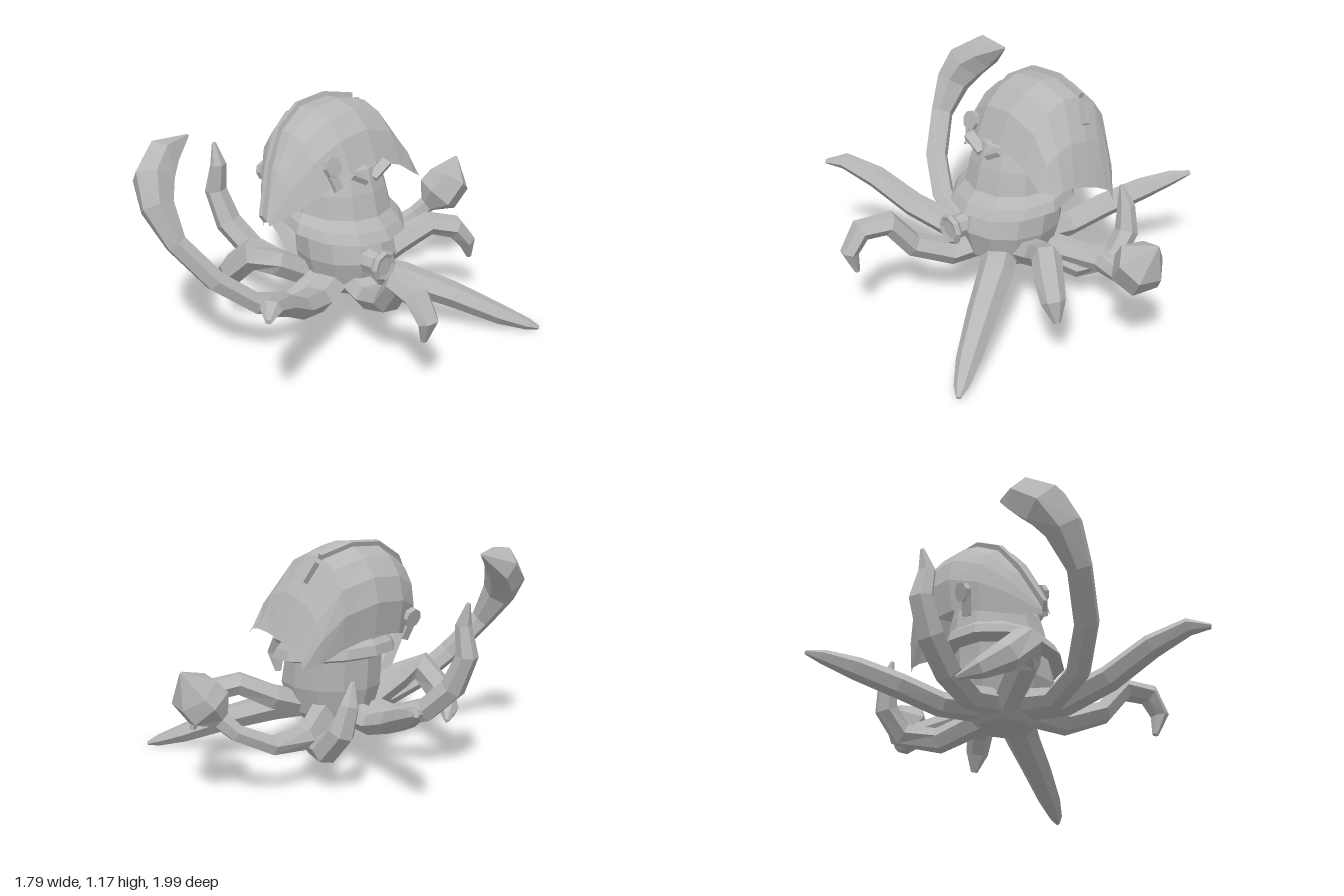
import * as THREE from 'three';

const skin = new THREE.MeshStandardMaterial({ color: 0xb6b6b6, flatShading: true, side: THREE.DoubleSide });
skin.name = 'plain grey';
const V = (x, y, z) => new THREE.Vector3(x, y, z);

// Skins a list of rings (equal point counts, counter-clockwise about the path)
function loft(rings, closed = true, caps = true) {
  const n = rings[0].length, pos = [], idx = [];
  rings.forEach(r => r.forEach(p => pos.push(p.x, p.y, p.z)));
  for (let i = 0; i < rings.length - 1; i++)
    for (let j = 0; j < (closed ? n : n - 1); j++) {
      const a = i * n + j, b = i * n + (j + 1) % n;
      idx.push(a, b, a + n, b, b + n, a + n);
    }
  if (caps) {
    const last = (rings.length - 1) * n;
    for (let j = 1; j < n - 1; j++) {
      idx.push(0, j + 1, j);
      idx.push(last, last + j, last + j + 1);
    }
  }
  const g = new THREE.BufferGeometry();
  g.setAttribute('position', new THREE.Float32BufferAttribute(pos, 3));
  g.setIndex(idx);
  const flat = g.toNonIndexed();
  flat.computeVertexNormals();
  return flat;
}

function part(parent, name, geometry, p = [0, 0, 0], r = [0, 0, 0]) {
  const m = new THREE.Mesh(geometry, skin);
  m.name = name;
  m.position.set(...p);
  m.rotation.set(...r);
  parent.add(m);
  return m;
}

// Six-sided arm along [x, y, z, radius] points; the frame is carried along the path
function arm(points, flat = 1, sides = 6) {
  const P = points.map(p => V(p[0], p[1], p[2]));
  let side = null;
  const rings = P.map((p, i) => {
    const t = P[Math.min(i + 1, P.length - 1)].clone().sub(P[Math.max(i - 1, 0)]).normalize();
    if (!side) side = V(0, 1, 0).cross(t);
    side = side.clone().addScaledVector(t, -side.dot(t)).normalize();
    const up = t.clone().cross(side), r = points[i][3];
    return Array.from({ length: sides }, (_, j) => {
      const a = j / sides * Math.PI * 2;
      return p.clone().addScaledVector(side, Math.cos(a) * r * flat).addScaledVector(up, Math.sin(a) * r);
    });
  });
  return loft(rings);
}

const arms = {
  backClubArm: [[[-0.02, 0.3, -0.12, 0.07], [-0.2, 0.25, -0.4, 0.06], [-0.18, 0.25, -0.58, 0.05], [-0.11, 0.33, -0.74, 0.045],
    [-0.06, 0.39, -0.79, 0.05], [-0.02, 0.45, -0.83, 0.125], [0.01, 0.53, -0.89, 0.12], [-0.01, 0.64, -0.97, 0.008]], 1],
  backArm: [[[0.1, 0.3, -0.12, 0.07], [0.14, 0.37, -0.32, 0.065], [0.22, 0.45, -0.47, 0.06], [0.3, 0.42, -0.58, 0.06],
    [0.33, 0.33, -0.65, 0.05], [0.33, 0.23, -0.68, 0.015]], 1.2],
  leftBackArm: [[[0.15, 0.3, -0.04, 0.08], [0.3, 0.26, -0.18, 0.075], [0.5, 0.18, -0.33, 0.065], [0.7, 0.08, -0.48, 0.05],
    [0.81, 0.03, -0.57, 0.03], [0.855, 0.01, -0.61, 0.01]], 1.2],
  leftArm: [[[0.18, 0.3, 0.07, 0.07], [0.35, 0.27, 0.12, 0.065], [0.53, 0.34, 0.2, 0.06], [0.64, 0.48, 0.24, 0.06],
    [0.78, 0.47, 0.28, 0.055], [0.85, 0.37, 0.28, 0.045], [0.82, 0.26, 0.27, 0.015]], 1.25],
  leftFrontArm: [[[0.1, 0.3, 0.1, 0.07], [0.18, 0.27, 0.33, 0.065], [0.28, 0.34, 0.55, 0.06], [0.38, 0.46, 0.75, 0.055],
    [0.48, 0.53, 0.9, 0.04], [0.55, 0.52, 0.98, 0.012]], 1.3],
  frontClubArm: [[[0.06, 0.3, 0.15, 0.07], [0.07, 0.24, 0.4, 0.055], [0.05, 0.3, 0.6, 0.055], [-0.04, 0.45, 0.78, 0.055],
    [-0.17, 0.64, 0.9, 0.055], [-0.27, 0.8, 0.92, 0.085], [-0.34, 0.91, 0.88, 0.105], [-0.39, 0.99, 0.78, 0.09], [-0.4, 1.05, 0.62, 0.008]], 1.15],
  frontCurlArm: [[[-0.03, 0.28, 0.15, 0.07], [-0.08, 0.4, 0.36, 0.07], [-0.15, 0.45, 0.45, 0.08], [-0.27, 0.34, 0.47, 0.075],
    [-0.38, 0.27, 0.42, 0.05], [-0.45, 0.24, 0.33, 0.01]], 1.1],
  rightFrontArm: [[[-0.02, 0.3, 0.08, 0.07], [-0.25, 0.26, 0.14, 0.06], [-0.42, 0.32, 0.21, 0.065], [-0.55, 0.45, 0.26, 0.065],
    [-0.62, 0.62, 0.28, 0.055], [-0.59, 0.77, 0.28, 0.04], [-0.62, 0.88, 0.28, 0.01]], 1.2],
  rightBackArm: [[[-0.02, 0.3, -0.02, 0.07], [-0.3, 0.27, -0.04, 0.06], [-0.5, 0.34, -0.1, 0.06], [-0.68, 0.42, -0.2, 0.055],
    [-0.82, 0.48, -0.29, 0.035], [-0.89, 0.51, -0.35, 0.01]], 1.2],
  backCurlArm: [[[-0.02, 0.27, -0.08, 0.07], [-0.15, 0.19, -0.29, 0.065], [-0.32, 0.21, -0.37, 0.065], [-0.42, 0.32, -0.36, 0.06],
    [-0.44, 0.45, -0.33, 0.045], [-0.43, 0.56, -0.3, 0.01]], 1.1],
};

// Helmet cross-sections from back to front: [z, half width, crown y, rim y]
const shell = [[-0.44, 0.21, -0.03, -0.1], [-0.37, 0.24, 0.18, -0.07], [-0.26, 0.26, 0.37, 0.0], [-0.08, 0.28, 0.415, 0.06],
  [0.1, 0.27, 0.4, 0.04], [0.25, 0.21, 0.31, -0.02], [0.36, 0.12, 0.15, -0.08], [0.46, 0.02, -0.08, -0.12]];

export function createModel() {
  const model = new THREE.Group();
  model.name = 'octopus';

  // Body, collar and mantle as stacked rings: [y, centre x, x radius, z radius, dip toward +x]
  const stack = [[0.21, 0.06, 0.14, 0.13, 0], [0.28, 0.06, 0.23, 0.21, 0], [0.42, 0.06, 0.27, 0.25, 0], [0.55, 0.04, 0.26, 0.25, 0.03],
    [0.57, 0.04, 0.32, 0.32, 0.035], [0.62, 0.03, 0.3, 0.3, 0.035], [0.66, 0.02, 0.26, 0.26, 0.02], [0.76, 0.01, 0.24, 0.24, 0],
    [0.87, 0, 0.21, 0.19, 0], [0.96, -0.05, 0.14, 0.12, 0]];
  part(model, 'body', loft(stack.map(([y, cx, rx, rz, dip]) => Array.from({ length: 12 }, (_, j) => {
    const a = j / 12 * Math.PI * 2;
    return V(cx + Math.sin(a) * rx, y - Math.sin(a) * dip, Math.cos(a) * rz);
  }))));

  // Siphon on the +x side
  part(model, 'siphon', new THREE.CylinderGeometry(0.055, 0.065, 0.13, 8), [0.33, 0.43, 0.07], [0, 0, -Math.PI / 2]);
  part(model, 'siphonRim', new THREE.TorusGeometry(0.063, 0.02, 5, 8), [0.385, 0.43, 0.07], [0, Math.PI / 2, 0]);

  // Heavy brows
  for (const s of [-1, 1])
    part(model, 'brow', new THREE.BoxGeometry(0.05, 0.025, 0.12), [0.215, 0.85, s * 0.08], [s * -0.5, 0, -0.4]);

  for (const [name, [points, flat]] of Object.entries(arms)) part(model, name, arm(points, flat));

  // Helmet, worn tipped over toward -x
  const helmet = new THREE.Group();
  helmet.name = 'helmet';
  helmet.position.set(-0.06, 0.75, 0);
  helmet.rotation.z = 0.28;
  model.add(helmet);
  const K = 8;
  part(helmet, 'helmetShell', loft(shell.map(([z, w, top, rim]) => Array.from({ length: K + 1 }, (_, j) => {
    const a = j / K * Math.PI;
    return V(Math.cos(a) * w, rim + (top - rim) * Math.pow(Math.sin(a), 0.8), z);
  })), false, false));

  // Crest strip following the crown from the back edge to the nose
  const crest = shell.slice(2);
  const strip = new THREE.Shape();
  crest.forEach(([z, , top], i) => i ? strip.lineTo(-z, top - 0.02) : strip.moveTo(-z, top - 0.02));
  [...crest].reverse().forEach(([z, , top]) => strip.lineTo(-z * 1.05, top + 0.02));
  const crestGeo = new THREE.ExtrudeGeometry(strip, { depth: 0.026, bevelEnabled: false });
  crestGeo.translate(0, 0, -0.013).rotateY(Math.PI / 2);
  part(helmet, 'crest', crestGeo);

  // Clip on the back wall and strap pads on both sides
  part(helmet, 'backClip', new THREE.BoxGeometry(0.03, 0.11, 0.05), [0, 0.3, -0.31], [0.5, 0, 0]);
  for (const s of [-1, 1]) {
    part(helmet, 'strapPad', new THREE.CylinderGeometry(0.05, 0.05, 0.03, 8), [s * 0.25, 0.1, 0.19], [0, 0, Math.PI / 2]);
    part(helmet, 'strap', new THREE.BoxGeometry(0.02, 0.12, 0.05), [s * 0.245, 0.04, 0.19], [0.3, 0, 0]);
  }
  return model;
}
